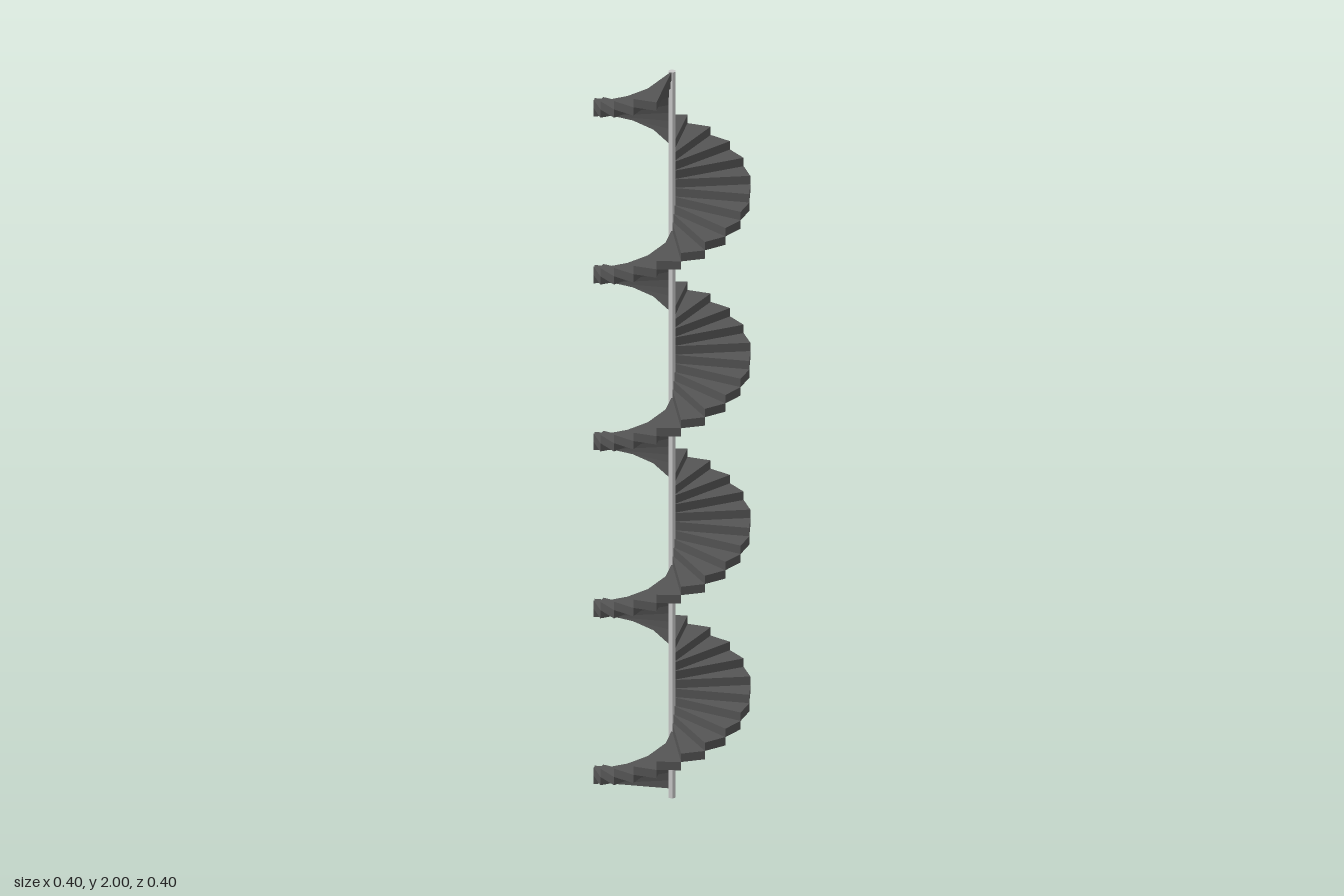
import * as THREE from 'three';

const STEPS = 86;
const RISE = 2 / (STEPS + 1);
const RADIUS = 0.1985;
const TURN = Math.PI / 10; // 20 steps per revolution
const START = THREE.MathUtils.degToRad(144.9);

// Triangular wedge: point on the axis, straight outer edge, lying flat with its base at y = 0
function wedgeGeometry() {
  const shape = new THREE.Shape();
  shape.moveTo(0, 0);
  shape.lineTo(RADIUS, 0);
  shape.lineTo(RADIUS * Math.cos(TURN), RADIUS * Math.sin(TURN));
  shape.closePath();
  const geometry = new THREE.ExtrudeGeometry(shape, { depth: RISE, bevelEnabled: false });
  return geometry.rotateX(-Math.PI / 2);
}

export function createModel() {
  const model = new THREE.Group();
  model.name = 'spiralStaircase';

  // Hexagonal central pole
  const pole = new THREE.Mesh(
    new THREE.CylinderGeometry(0.01, 0.01, 2, 6),
    new THREE.MeshStandardMaterial({ color: 0xcccccc, flatShading: true })
  );
  pole.name = 'pole';
  pole.position.y = 1;
  model.add(pole);

  // Steps climbing counter-clockwise, each one rise thick
  const steps = new THREE.Group();
  steps.name = 'steps';
  const geometry = wedgeGeometry();
  const material = new THREE.MeshStandardMaterial({ color: 0x555555, flatShading: true });
  for (let i = 0; i < STEPS; i++) {
    const step = new THREE.Mesh(geometry, material);
    step.name = `step${i + 1}`;
    step.position.y = (i + 1) * RISE;
    step.rotation.y = START + i * TURN;
    steps.add(step);
  }
  model.add(steps);

  return model;
}
